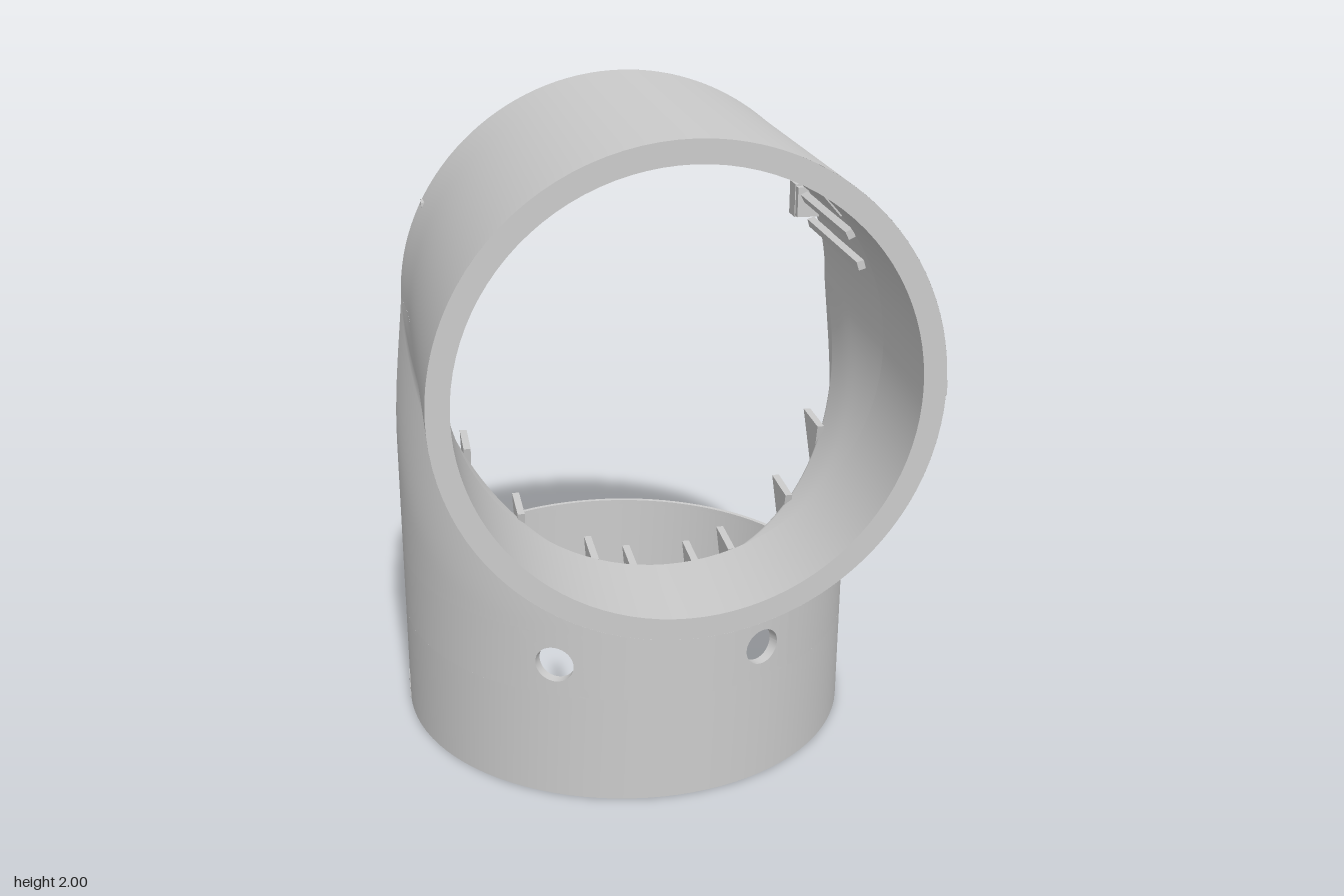
import * as THREE from 'three';
import { mergeGeometries } from 'three/addons/utils/BufferGeometryUtils.js';

const PI = Math.PI, HALF = PI / 2;
const ZC = -0.16, YC = 1.35;            // vertical axis z, horizontal axis y
const RIM = 0.33, BAND = 0.53;          // collar top, top of the band with the holes
const HOLE_Y = 0.43, HOLE_A = 0.45, HOLE_W = 0.15;
const OUT = { v: 0.70, h: 0.65, end: 0.87, fillet: 0.14 };
const INN = { v: 0.67, h: 0.62, end: 0.55, fillet: 0.04 };
const BORE = 0.59;
const lerp = THREE.MathUtils.lerp;
const smooth = THREE.MathUtils.smoothstep;

// Surface patch from a function (u, v) -> [x, y, z]
function grid(nu, nv, f, flip = false) {
  const pos = [], idx = [];
  for (let j = 0; j <= nv; j++)
    for (let i = 0; i <= nu; i++) pos.push(...f(i / nu, j / nv));
  for (let j = 0; j < nv; j++)
    for (let i = 0; i < nu; i++) {
      const a = j * (nu + 1) + i, b = a + 1, c = a + nu + 1, d = c + 1;
      if (flip) idx.push(a, d, b, a, c, d);
      else idx.push(a, b, d, a, d, c);
    }
  const g = new THREE.BufferGeometry();
  g.setAttribute('position', new THREE.Float32BufferAttribute(pos, 3));
  g.setIndex(idx);
  g.computeVertexNormals();
  return g;
}

const upright = (r, a, y) => [r * Math.sin(a), y, ZC + r * Math.cos(a)];
const level = (r, a, z) => [r * Math.sin(a), YC - r * Math.cos(a), z];

// Column that climbs the vertical tube and turns into the horizontal one
function elbow(k, th, v) {
  const c = Math.max(0, Math.cos(th)), s = Math.sin(th), r = k.fillet * c;
  const yc = YC - k.h * c, zc = ZC + k.v * c;
  let y, z;
  if (v <= 0.4) { y = lerp(BAND, yc - r, v / 0.4); z = zc; }
  else if (v <= 0.7) {
    const a = (v - 0.4) / 0.3 * HALF;
    y = yc - r + r * Math.sin(a);
    z = zc + r - r * Math.cos(a);
  } else { y = yc; z = lerp(zc + r, k.end, (v - 0.7) / 0.3); }
  const d = y - yc + z - zc;
  const R = lerp(k.v, k.h, smooth(d, -0.45 * s * s - r, 0.25 * s * s + r));
  return [R * s, y, z];
}

// Upper half of the horizontal tube, slightly flared to meet the elbow
function crown(k, th, v) {
  const s = Math.sin(th), z = lerp(ZC, k.end, v);
  const flare = (1 - smooth(z - ZC, -0.45, 0.25)) * s * s;
  return [lerp(k.h, k.v, flare) * s, YC - k.h * Math.cos(th), z];
}

// Revolve each straight profile edge separately so corners stay sharp
function revolve(profile, point, a0, a1, n) {
  return profile.slice(1).map((q, i) => {
    const p = profile[i];
    return grid(n, 1, (u, v) =>
      point(lerp(p[0], q[0], v), lerp(a0, a1, u), lerp(p[1], q[1], v)));
  });
}

// Outline of the flat back opening: up one side, over the top, down the other
function backEdge(k, t) {
  if (t < 0.25) return [k.v, lerp(RIM, BAND, t / 0.25), ZC];
  if (t < 0.5) return elbow(k, HALF, (t - 0.25) / 0.25 * 0.4);
  return crown(k, HALF + (t - 0.5) * PI, 0);
}

export function createModel() {
  const model = new THREE.Group();
  const mat = new THREE.MeshStandardMaterial({ color: 0xcccccc, side: THREE.DoubleSide });
  const add = (name, geos) => {
    const list = [].concat(geos);
    const m = new THREE.Mesh(list.length > 1 ? mergeGeometries(list) : list[0], mat);
    m.name = name;
    model.add(m);
    return m;
  };

  // Full ring at the bottom
  add('collar', revolve([[0.67, RIM], [0.67, 0], [0.70, 0], [0.70, RIM], [0.67, RIM]],
    upright, 0, 2 * PI, 96));
  add('collarLip', revolve([[0.685, RIM], [0.685, 0.345], [0.67, 0.345], [0.67, RIM]],
    upright, HALF, 3 * HALF, 48));

  // Front wall band with two round holes
  const spans = [[-HALF, -HOLE_A - HOLE_W], [-HOLE_A + HOLE_W, HOLE_A - HOLE_W], [HOLE_A + HOLE_W, HALF]];
  const band = [];
  for (const k of [OUT, INN]) {
    for (const [a, b] of spans)
      band.push(grid(18, 2, (u, v) => upright(k.v, lerp(a, b, u), lerp(RIM, BAND, v)), k === INN));
    for (const side of [-1, 1])
      band.push(grid(48, 4, (u, v) => {
        const c = Math.cos(u * 2 * PI), s = Math.sin(u * 2 * PI);
        const m = Math.max(Math.abs(c), Math.abs(s));
        return upright(k.v, side * HOLE_A + lerp(0.082 * c, HOLE_W * c / m, v),
          HOLE_Y + lerp(0.054 * s, 0.1 * s / m, v));
      }, k === OUT));
  }
  for (const side of [-1, 1])
    band.push(grid(48, 1, (u, v) => upright(lerp(OUT.v, INN.v, v),
      side * HOLE_A + 0.082 * Math.cos(u * 2 * PI), HOLE_Y + 0.054 * Math.sin(u * 2 * PI)), true));
  add('holedWall', band);

  // Elbow and crown, outside and inside
  for (const [k, label] of [[OUT, 'outer'], [INN, 'inner']]) {
    add(label + 'Elbow', grid(80, 40, (u, v) => elbow(k, lerp(-HALF, HALF, u), v), k === INN));
    add(label + 'Crown', grid(64, 16, (u, v) => crown(k, lerp(HALF, 3 * HALF, u), v), k === INN));
  }

  // Thick front ring: step, bore and face
  add('frontRing', revolve([[INN.h, INN.end], [BORE, INN.end], [BORE, OUT.end], [OUT.h, OUT.end]],
    level, 2 * PI, 0, 96));

  // Flat edge around the back opening
  add('backEdge', grid(96, 1, (u, v) => {
    const p = backEdge(OUT, u), q = backEdge(INN, u);
    return p.map((a, i) => lerp(a, q[i], v));
  }));

  // Triangular gussets under the front ring
  const tri = new THREE.Shape([[-0.1, 0.02], [0.05, 0.02], [0.01, -0.15]].map(p => new THREE.Vector2(...p)));
  const gusset = new THREE.ExtrudeGeometry(tri, { depth: 0.02, bevelEnabled: false });
  gusset.translate(0, 0, -0.01).rotateY(-HALF);
  for (const deg of [8, 18, 38, 56])
    for (const side of [-1, 1]) {
      const a = side * deg * PI / 180;
      const g = add('gusset', gusset);
      g.position.set(0.62 * Math.sin(a), YC - 0.62 * Math.cos(a), ZC + 0.67 * Math.cos(a));
    }

  // Rails, liner strips and snap tabs on both inner sides
  for (const side of [-1, 1]) {
    for (const [deg, w, name] of [[107, 0.025, 'rail'], [116, 0.025, 'rail'], [131, 0.2, 'linerPlate']]) {
      const a = side * deg * PI / 180;
      const r = add(name, new THREE.BoxGeometry(w, 0.022, 0.5));
      r.position.set(...level(0.61, a, 0.1));
      r.rotation.z = a;
    }
    const tab = add('snapTab', new THREE.BoxGeometry(0.035, 0.1, 0.06));
    tab.position.set(side * 0.54, 1.6, -0.16);
    const foot = add('snapTabFoot', new THREE.BoxGeometry(0.07, 0.09, 0.05));
    foot.position.set(side * 0.56, 1.6, -0.13);
  }

  // Small alignment marks on the front ring and the collar
  const frontMark = add('alignmentMark', new THREE.BoxGeometry(0.02, 0.04, 0.1));
  frontMark.position.set(0.642, YC, 0.82);
  const collarMark = add('alignmentMark', new THREE.BoxGeometry(0.02, 0.09, 0.025));
  collarMark.position.set(-0.692, 0.045, ZC);

  return model;
}
